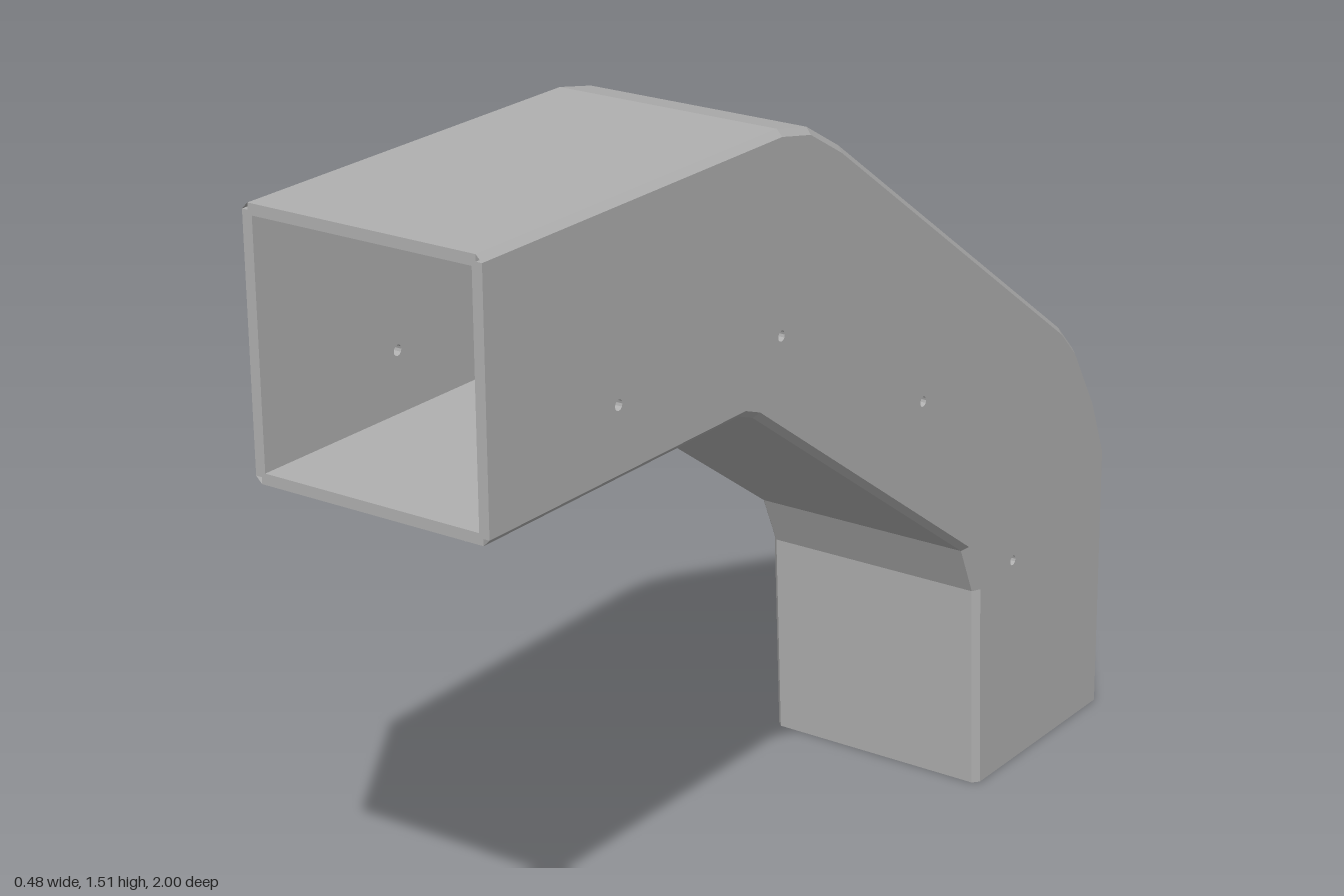
import * as THREE from 'three';

const HALF = 0.239, WALL = 0.02, CHAMFER = 0.012;

// Side profiles as [z, y], from the front opening to the foot
const TOP = [[1, 1.51], [0.19, 1.51], [0.1, 1.492], [0, 1.435], [-0.8, 0.87],
  [-0.86, 0.81], [-0.94, 0.68], [-0.99, 0.56], [-1, 0]];
const BOTTOM = [[1, 1.035], [0.3, 1.03], [0.26, 1.015], [-0.45, 0.52], [-0.495, 0.42], [-0.515, 0]];
const SLOPE = 3; // index of the top segment that carries the port

// Mitred parallel path; positive distances move to the left of travel
function offset(path, d) {
  const normal = (a, b) => {
    const l = Math.hypot(b[0] - a[0], b[1] - a[1]);
    return [-(b[1] - a[1]) / l, (b[0] - a[0]) / l];
  };
  return path.map((p, i) => {
    const n1 = normal(path[Math.max(i - 1, 0)], path[Math.max(i, 1)]);
    const last = path.length - 1;
    const n2 = normal(path[Math.min(i, last - 1)], path[Math.min(i + 1, last)]);
    const k = d / (1 + n1[0] * n2[0] + n1[1] * n2[1]);
    return [p[0] + (n1[0] + n2[0]) * k, p[1] + (n1[1] + n2[1]) * k];
  });
}

function makeShape(points, holes = []) {
  const shape = new THREE.Shape(points.map(([x, y]) => new THREE.Vector2(x, y)));
  for (const [x, y, r] of holes) {
    shape.holes.push(new THREE.Path().absarc(x, y, r, 0, Math.PI * 2, true));
  }
  return shape;
}

// Extrudes a z-y outline across x, from x0 to x1
function acrossX(points, x0, x1, holes) {
  const geo = new THREE.ExtrudeGeometry(makeShape(points, holes),
    { depth: x1 - x0, bevelEnabled: false, curveSegments: 6 });
  return geo.rotateY(-Math.PI / 2).translate(x1, 0, 0);
}

// Bevelled strip along one long edge of the duct
function chamferStrip(path, inset, side) {
  const pos = [], index = [];
  path.forEach((p, i) => {
    pos.push(side * (HALF - CHAMFER), p[1], p[0], side * HALF, inset[i][1], inset[i][0]);
    const a = i * 2;
    if (i) index.push(a - 2, a - 1, a, a - 1, a + 1, a);
  });
  const geo = new THREE.BufferGeometry();
  geo.setAttribute('position', new THREE.Float32BufferAttribute(pos, 3));
  geo.setIndex(index);
  geo.computeVertexNormals();
  return geo;
}

export function createModel() {
  const group = new THREE.Group();
  const grey = new THREE.MeshStandardMaterial({ color: 0xb0b0b0, flatShading: true, side: THREE.DoubleSide });
  grey.name = 'grey';
  const add = (name, geo) => {
    const mesh = new THREE.Mesh(geo, grey);
    mesh.name = name;
    group.add(mesh);
  };
  const w = HALF - CHAMFER;

  // Side walls with small through-holes
  const topInset = offset(TOP, CHAMFER), bottomInset = offset(BOTTOM, -CHAMFER);
  const sideOutline = [...topInset, ...[...bottomInset].reverse()];
  const pins = [[0.66, 1.165, 0.01], [0.19, 1.145, 0.01], [-0.28, 0.88, 0.01], [-0.63, 0.44, 0.01]];
  add('leftWall', acrossX(sideOutline, HALF - WALL, HALF, pins));
  add('rightWall', acrossX(sideOutline, -HALF, -HALF + WALL, pins));

  // Bottom wall
  const bottomInner = offset(BOTTOM, -WALL);
  add('bottomWall', acrossX([...BOTTOM, ...bottomInner.reverse()], -w, w));

  // Sloping panel, drawn from the front and sheared back along the slope
  const [a, b] = [TOP[SLOPE], TOP[SLOPE + 1]];
  const m = (a[1] - b[1]) / (a[0] - b[0]);
  const depth = WALL * Math.hypot(1, m) / m;
  const holes = [[0, 1.272, 0.146]];
  for (const x of [-0.18, 0.18]) {
    for (const z of [-0.41, -0.05]) holes.push([x, a[1] + (z - a[0]) * m, 0.01]);
  }
  const panel = new THREE.ExtrudeGeometry(
    makeShape([[-w, b[1]], [w, b[1]], [w, a[1]], [-w, a[1]]], holes),
    { depth, bevelEnabled: false, curveSegments: 8 });
  const p = panel.attributes.position;
  for (let i = 0; i < p.count; i++) p.setZ(i, p.getZ(i) + a[0] + (p.getY(i) - a[1]) / m);
  panel.computeVertexNormals();
  add('slopingPanelWithPort', panel);

  // Top wall ahead of the panel and back wall behind it
  const topInner = offset(TOP, WALL);
  add('topWall', acrossX([...TOP.slice(0, SLOPE + 1), ...topInner.slice(0, SLOPE + 1).reverse()], -w, w));
  add('backWall', acrossX([...TOP.slice(SLOPE + 1), ...topInner.slice(SLOPE + 1).reverse(),
    [b[0] + depth, b[1]]], -w, w));

  // Chamfered long edges; bottom paths run reversed so faces point outward
  for (const side of [1, -1]) {
    const label = side > 0 ? 'left' : 'right';
    const order = (path, flip) => (flip ? [...path].reverse() : path);
    add(label + 'TopChamfer', chamferStrip(order(TOP, side > 0), order(topInset, side > 0), side));
    add(label + 'BottomChamfer', chamferStrip(order(BOTTOM, side < 0), order(bottomInset, side < 0), side));
  }
  return group;
}
